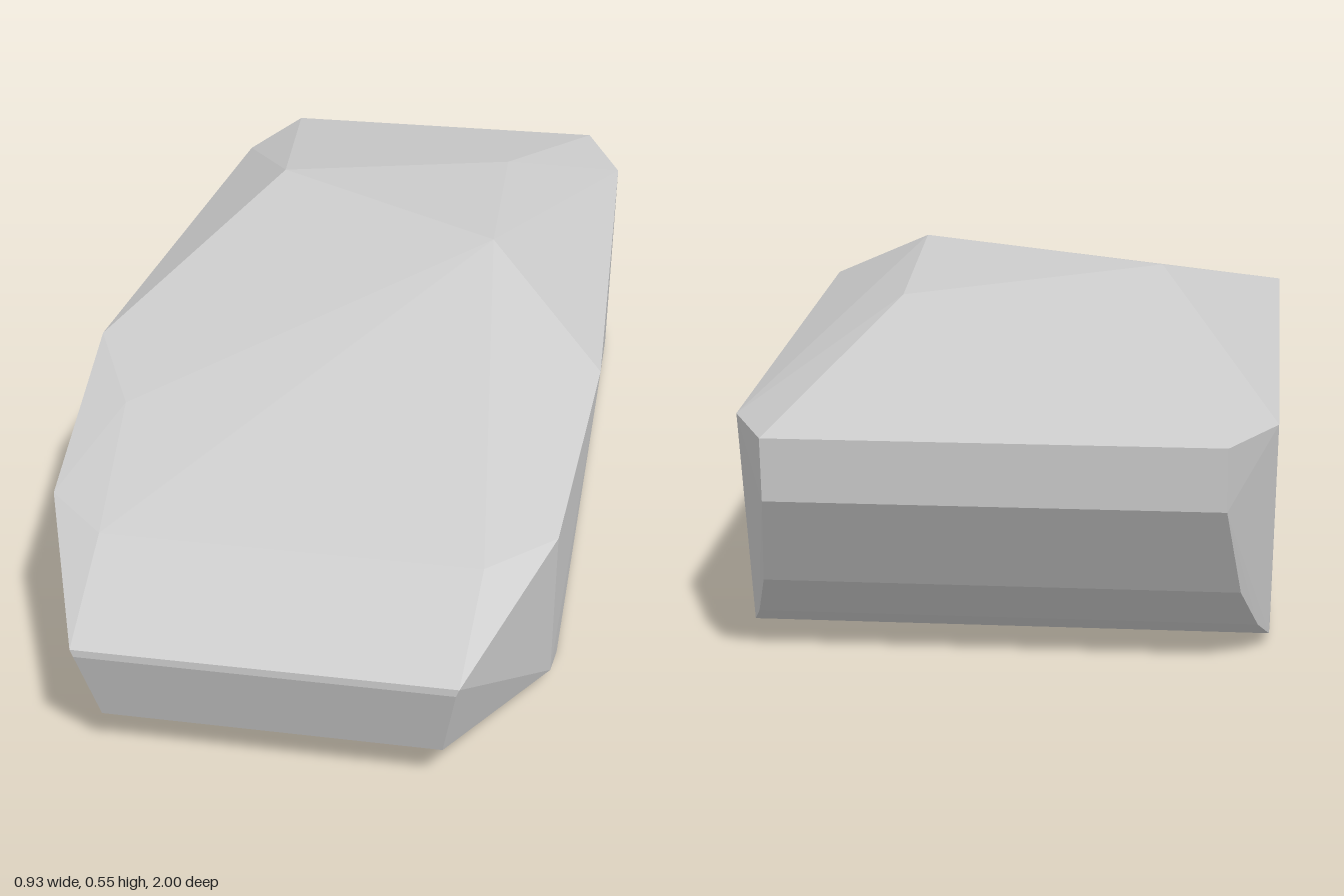
import * as THREE from 'three';
import { ConvexGeometry } from 'three/addons/geometries/ConvexGeometry.js';

export function createModel() {
  const group = new THREE.Group();
  group.name = 'carHull';

  // Mirrored corners of the faceted body: half width, height, z
  const corners = [
    // nose
    [0.31, 0.225, 1.0], [0.305, 0.212, 1.0], [0.28, 0.073, 0.955],
    // bonnet and front wings
    [0.32, 0.312, 0.79], [0.43, 0.32, 0.69], [0.425, 0.037, 0.66],
    // widest point of the shoulder line
    [0.464, 0.418, 0.27],
    // rear shoulder and tail
    [0.43, 0.388, -0.81], [0.35, 0.4, -1.0], [0.35, 0.3, -0.995],
    [0.375, 0.14, -0.895], [0.405, 0.055, -0.805], [0.425, 0.02, -0.75],
    // floor
    [0.428, 0.005, 0.56], [0.428, 0.01, -0.69], [0.37, 0, 0.55], [0.38, 0.004, -0.68],
  ];
  const points = [];
  for (const [x, y, z] of corners) {
    for (const side of [1, -1]) points.push(new THREE.Vector3(side * x, y, z));
  }

  // Uneven roof facets and the screen corner
  const roof = [
    [0.235, 0.545, 0], [-0.233, 0.545, -0.29], [0.21, 0.52, -0.48], [-0.36, 0.39, 0.48],
  ];
  for (const p of roof) points.push(new THREE.Vector3(...p));

  const body = new THREE.Mesh(
    new ConvexGeometry(points),
    new THREE.MeshStandardMaterial({ color: 0xcccccc, flatShading: true })
  );
  body.name = 'body';
  group.add(body);
  return group;
}
